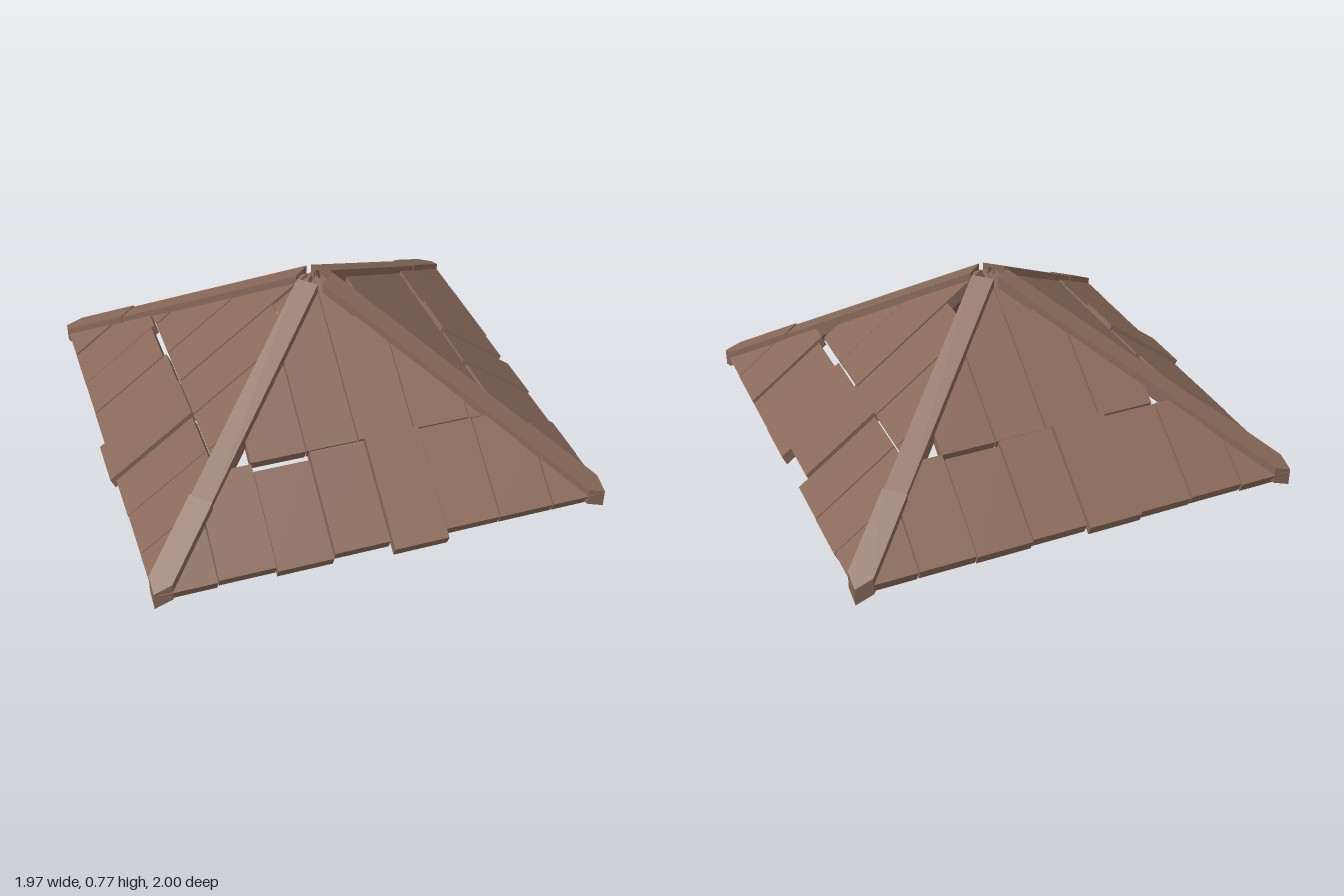
import * as THREE from 'three';

const EDGE = 0.97;   // half width of the roof at the eaves
const PITCH = 0.75;  // rise per unit run
const HIP = 0.015;   // plank setback from the hip line

const wood = new THREE.MeshStandardMaterial({ color: 0x896959 });
wood.name = 'brown wood';

const roofY = (d) => 0.075 + PITCH * (EDGE - d);

// Slab with a plan outline [x, z], laid on a slope; runOf gives the distance from the apex
function slab(name, outline, runOf, lift, drop, inset) {
  const shape = new THREE.Shape(outline.map(([x, z]) => new THREE.Vector2(x, -z)));
  const geo = new THREE.ExtrudeGeometry(shape, { depth: 1, bevelEnabled: false });
  const p = geo.attributes.position;
  for (let i = 0; i < p.count; i++) {
    const x = p.getX(i), z = -p.getY(i), top = p.getZ(i) > 0.5;
    const y = roofY(runOf(x, z)) + lift;
    p.setXYZ(i, x, top ? y : y - drop, top ? z : z - inset);
  }
  geo.computeVertexNormals();
  const mesh = new THREE.Mesh(geo, wood);
  mesh.name = name;
  return mesh;
}

// Plank between u0..u1 across and d0..d1 down the slope, cut along the hips
function plank(name, u0, u1, d0, d1, lift) {
  const lim = Math.min(d1, EDGE) - HIP;
  const a = Math.max(u0, -lim), b = Math.min(u1, lim);
  const kinks = [-(d0 - HIP), 0, d0 - HIP].filter((u) => u > a + 0.001 && u < b - 0.001);
  const upper = [a, ...kinks, b].map((u) => [u, Math.max(d0, Math.abs(u) + HIP)]);
  const outline = [[a, d1], [b, d1], ...upper.reverse()]
    .filter(([u, d], i, all) => i === 0 || Math.hypot(u - all[i - 1][0], d - all[i - 1][1]) > 0.001);
  return slab(name, outline, (x, z) => z, lift, 0.045, 0.02);
}

// Hip beam section from a to b along the diagonal; the last section ends in the corner
function beam(name, a, b, h, lift) {
  const end = b >= EDGE
    ? [[EDGE, EDGE - 2 * h], [EDGE, EDGE], [EDGE - 2 * h, EDGE]]
    : [[b + h, b - h], [b - h, b + h]];
  const outline = [[a + h, a - h], ...end, [a - h, a + h]];
  return slab(name, outline, (x, z) => (x + z) / 2, lift, 0.07 + lift, 0);
}

// Differences between the four sides: the shifted eave plank and missing pieces
const sides = [
  { name: 'front', eave: 1.01, low: -0.02, noLeft: true },
  { name: 'right', eave: 0.935, low: -0.01, noLeft: true, noTop: true },
  { name: 'back', eave: 0.99, low: 0, noLeft: true, noRight: true },
  { name: 'left', eave: 0.995, low: 0 },
];
const lowerCuts = [-0.97, -0.71, -0.47, -0.23, 0.01, 0.25, 0.49, 0.73, 0.97];
const upperCuts = [-0.62, -0.475, -0.235, -0.01, 0.235, 0.485, 0.62];

export function createModel() {
  const root = new THREE.Group();
  root.name = 'hippedRoof';
  const roof = new THREE.Group();
  roof.name = 'roof';
  roof.position.set(0.01, 0, -0.01);
  root.add(roof);

  // small seeded variation of plank heights
  let seed = 7;
  const vary = (r) => {
    seed = (seed * 16807) % 2147483647;
    return (seed / 2147483647 - 0.5) * r;
  };

  const gap = 0.003;
  sides.forEach((s, k) => {
    const side = new THREE.Group();
    side.name = s.name + 'Slope';
    side.rotation.y = k * Math.PI / 2;

    // eave row
    for (let i = 0; i < 8; i++) {
      const shifted = i === 4, sunk = i === 2;
      const lift = shifted ? 0.02 : sunk ? s.low : vary(0.008);
      side.add(plank('eavePlank', lowerCuts[i] + gap, lowerCuts[i + 1] - gap,
        sunk ? 0.64 : 0.625, shifted ? s.eave : EDGE + vary(0.006), lift));
    }

    // upper row
    for (let i = 0; i < 6; i++) {
      if ((i === 0 && s.noLeft) || (i === 5 && s.noRight)) continue;
      const u0 = upperCuts[i] + gap, u1 = upperCuts[i + 1] - gap;
      const lift = -0.01 + vary(0.008);
      side.add(plank('upperPlank', u0, u1, i === 3 ? 0.19 : HIP, 0.615, lift));
      if (i === 3 && !s.noTop) side.add(plank('peakPlank', u0, 0.17, HIP, 0.185, lift - 0.01));
    }

    // hip beam with an overlapping foot
    side.add(beam('hipBeam', 0.045, 0.71, 0.035, 0));
    side.add(beam('hipBeamFoot', 0.705, EDGE, 0.038, 0.006));
    roof.add(side);
  });
  return root;
}
